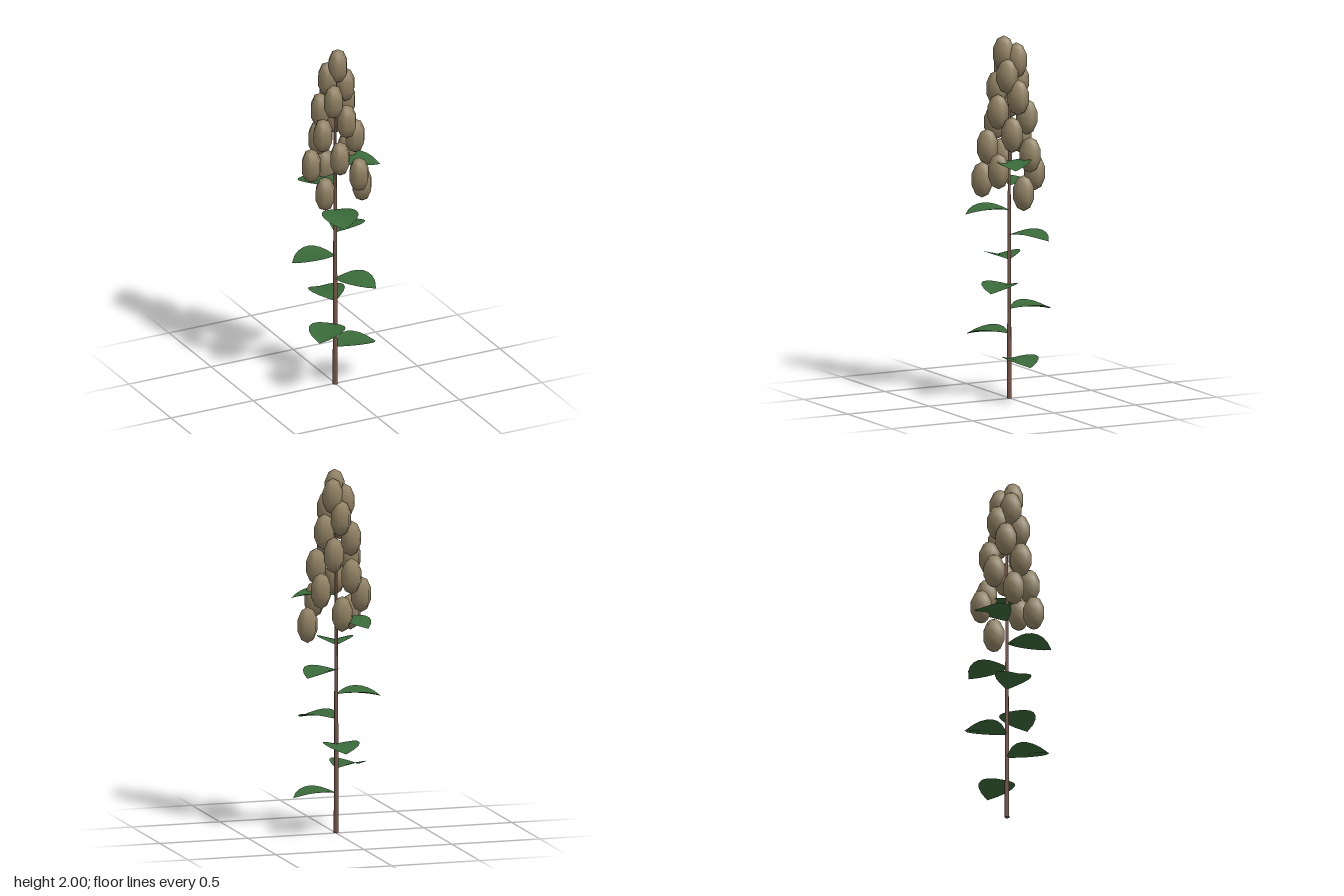
import * as THREE from 'three';

const GOLDEN = THREE.MathUtils.degToRad(137.5);

// Folded leaf pointing along +x: edges raised above an arched midrib
function leafGeometry(length) {
  const halfWidths = [0.004, 0.045, 0.076, 0.094, 0.1, 0.096, 0.081, 0.052, 0];
  const rows = halfWidths.length - 1;
  const pos = [], index = [];
  halfWidths.forEach((w, i) => {
    const t = i / rows;
    const mid = 0.035 * t - 0.05 * t * t;
    for (const s of [-1, 0, 1]) {
      pos.push(length * t, mid + Math.abs(s) * w * 0.24, s * w);
    }
  });
  for (let i = 0; i < rows; i++) {
    for (let j = 0; j < 2; j++) {
      const a = i * 3 + j, b = a + 1, c = a + 3, d = a + 4;
      index.push(a, b, c);
      if (i < rows - 1 || j === 0) index.push(b, d, c);
      else index.push(b, d, c);
    }
  }
  const g = new THREE.BufferGeometry();
  g.setAttribute('position', new THREE.Float32BufferAttribute(pos, 3));
  g.setIndex(index);
  g.computeVertexNormals();
  return g;
}

export function createModel() {
  const model = new THREE.Group();
  model.name = 'floweringStalk';
  const plant = new THREE.Group();
  plant.name = 'plant';
  plant.position.set(-0.003, 0, 0.004);
  model.add(plant);

  const stemBrown = new THREE.MeshStandardMaterial({ name: 'stemBrown', color: 0x795548 });
  const leafGreen = new THREE.MeshStandardMaterial({ name: 'leafGreen', color: 0x3a6b3a, side: THREE.DoubleSide });
  const podTan = new THREE.MeshStandardMaterial({ name: 'podTan', color: 0x8f8062 });

  const add = (name, geometry, material) => {
    const mesh = new THREE.Mesh(geometry, material);
    mesh.name = name;
    plant.add(mesh);
    return mesh;
  };

  // Tapered stem
  const stemHeight = 1.9;
  add('stem', new THREE.CylinderGeometry(0.006, 0.014, stemHeight, 6), stemBrown)
    .position.y = stemHeight / 2;

  // Leaves spiralling up the stem
  const leafGeo = leafGeometry(0.245);
  for (let i = 0; i < 9; i++) {
    const leaf = add('leaf', leafGeo, leafGreen);
    leaf.position.y = 0.22 + 0.136 * i;
    leaf.rotation.y = -GOLDEN * i;
  }

  // Seed pods spiralling inward to the tip
  const podGeo = new THREE.SphereGeometry(0.06, 6, 5);
  podGeo.scale(1, 1.65, 1);
  for (let i = 0; i < 20; i++) {
    const r = 0.163 - 0.0068 * i;
    const a = GOLDEN * i;
    add('seedPod', podGeo, podTan)
      .position.set(r * Math.cos(a), 1.155 + 0.0393 * i, r * Math.sin(a));
  }
  return model;
}
